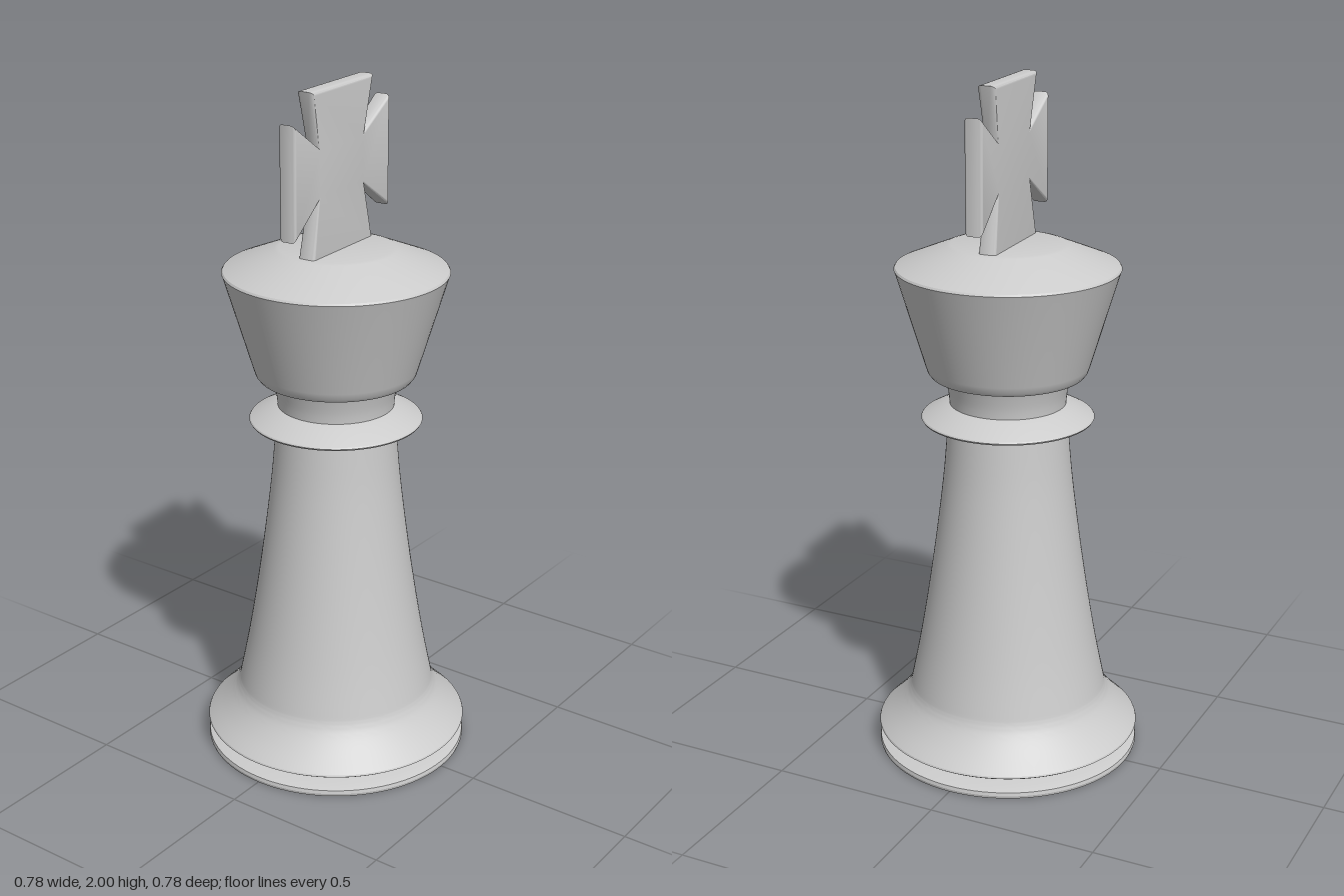
import * as THREE from 'three';
import { toCreasedNormals } from 'three/addons/utils/BufferGeometryUtils.js';

const material = new THREE.MeshStandardMaterial({ color: 0xcccccc, roughness: 0.6 });
const vec = (pairs) => pairs.map(([x, y]) => new THREE.Vector2(x, y));
const smooth = (pairs, n) => new THREE.SplineCurve(vec(pairs)).getPoints(n);

function turned(name, points) {
  const mesh = new THREE.Mesh(toCreasedNormals(new THREE.LatheGeometry(points, 96), 0.4), material);
  mesh.name = name;
  return mesh;
}

// Flared cross plate: outline from one corner mirrored, thicker toward the arm ends
function cross() {
  const cy = 1.77, inner = 0.115, outer = 0.238;
  const shape = new THREE.Shape(vec([
    [0.153, -0.24], [0.117, -0.076], [outer, -0.16],
    [outer, 0.158], [0.117, 0.078], [0.153, 0.23],
    [-0.153, 0.23], [-0.117, 0.078], [-outer, 0.158],
    [-outer, -0.16], [-0.117, -0.076], [-0.153, -0.24],
  ]));
  const geo = new THREE.ExtrudeGeometry(shape, {
    depth: 0.026, bevelThickness: 0.012, bevelSize: 0.012, bevelOffset: -0.012, bevelSegments: 4,
  });
  geo.translate(0, 0, -0.013);
  const p = geo.attributes.position;
  for (let i = 0; i < p.count; i++) {
    const d = Math.max(Math.abs(p.getX(i)), Math.abs(p.getY(i)));
    const t = THREE.MathUtils.clamp((d - inner) / (outer - inner), 0, 1);
    p.setZ(i, p.getZ(i) * (0.8 + 0.26 * t));
  }
  const mesh = new THREE.Mesh(toCreasedNormals(geo, 0.6), material);
  mesh.name = 'cross';
  mesh.position.y = cy;
  mesh.rotation.y = 0.053;
  return mesh;
}

export function createModel() {
  const group = new THREE.Group();
  group.name = 'chessKing';

  // Foot disc, tapering into the groove
  group.add(turned('footDisc', vec([[0, 0], [0.388, 0], [0.39, 0.008], [0.388, 0.018], [0.36, 0.027], [0.26, 0.037]])));

  // Flared skirt and tapering stem
  group.add(turned('stem', [
    ...vec([[0.26, 0.037], [0.383, 0.06], [0.39, 0.065]]),
    ...smooth([[0.388, 0.07], [0.345, 0.112], [0.313, 0.15], [0.296, 0.18], [0.287, 0.215],
      [0.262, 0.34], [0.235, 0.5], [0.209, 0.68], [0.187, 0.86], [0.174, 1.012]], 40),
  ]));

  // Thin sharp collar
  group.add(turned('collar', vec([[0.17, 1.008], [0.19, 1.013], [0.247, 1.028], [0.25, 1.033], [0.247, 1.037], [0.19, 1.068], [0.165, 1.076]])));

  // Neck under the head
  group.add(turned('neck', smooth([[0.167, 1.06], [0.17, 1.1], [0.178, 1.14], [0.185, 1.165]], 10)));

  // Flaring head with sloped top and flat cap
  group.add(turned('head', vec([
    [0.17, 1.155], [0.205, 1.158], [0.222, 1.162], [0.23, 1.172], [0.236, 1.19],
    [0.318, 1.464], [0.321, 1.472], [0.317, 1.478], [0.172, 1.538], [0.16, 1.541], [0, 1.541],
  ])));

  group.add(cross());
  return group;
}
